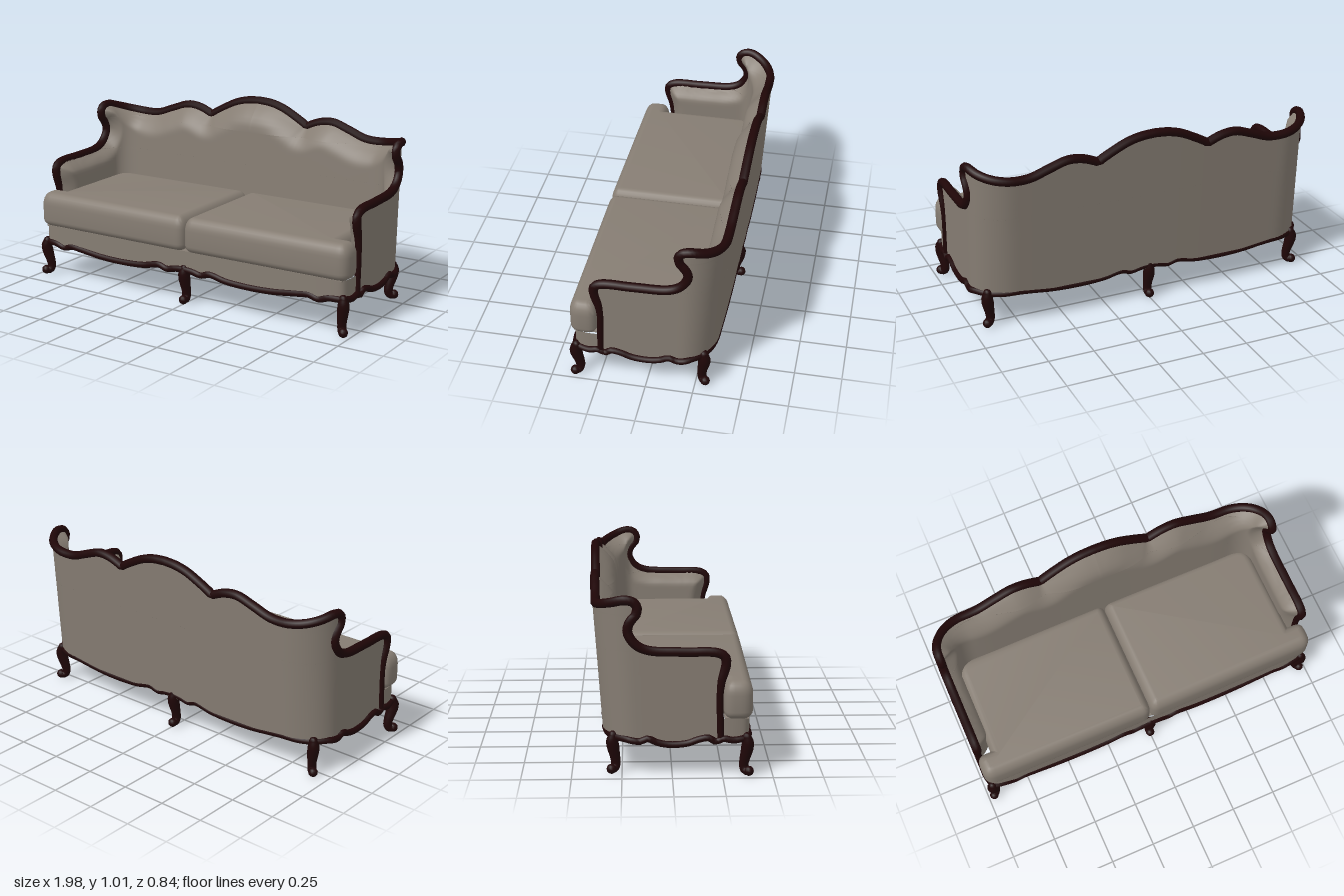
import * as THREE from 'three';
import { mergeVertices, toCreasedNormals } from 'three/addons/utils/BufferGeometryUtils.js';
import { ParametricGeometry } from 'three/addons/geometries/ParametricGeometry.js';

const V3 = (x, y, z) => new THREE.Vector3(x, y, z);
const { smoothstep, lerp, clamp } = THREE.MathUtils;
const ARC = 0.295, MID = 1.255; // corner length and half length of the wrap-around back

// Point on the back shell: s runs along the plan from the arm front to the centre back, d is the inward padding.
function plan(s) {
  if (s < 0.2) return [0.967, -s];
  if (s < 0.2 + ARC) {
    const a = (s - 0.2) / ARC * Math.PI / 2;
    return [0.76 + 0.207 * Math.cos(a), -0.2 - 0.182 * Math.sin(a)];
  }
  const x = MID - s;
  return [x, -0.382 - 0.006 * (1 - (x / 0.76) ** 2)];
}
function shell(s, y, d = 0) {
  let [x, z] = plan(s);
  const a = plan(s - 0.02), b = plan(Math.min(s + 0.02, MID));
  const tx = b[0] - a[0], tz = b[1] - a[1], l = Math.hypot(tx, tz);
  x += tz / l * d;
  z -= tx / l * d;
  const lean = clamp(-z / 0.37, 0, 1) * 0.07 * (0.9 - y);
  return V3(Math.max(x, 0), y, z + lean);
}

// Show-wood outline as (s, y): arm front, arm top, wing, then the crest to the centre
const armEdge = [[-0.24, 0.18], [-0.236, 0.3], [-0.234, 0.42], [-0.243, 0.5], [-0.262, 0.57], [-0.256, 0.615],
  [-0.21, 0.636], [-0.1, 0.638], [0, 0.64], [0.1, 0.644], [0.16, 0.66], [0.2, 0.69], [0.226, 0.74], [0.214, 0.785], [0.18, 0.825]];
const crest = [[0.18, 0.825], [0.172, 0.86], [0.19, 0.888], [0.235, 0.897], [0.314, 0.878], [0.4, 0.858], [0.495, 0.847],
  [0.575, 0.853], [0.675, 0.888], [0.775, 0.919], [0.855, 0.912], [0.92, 0.888], [0.94, 0.88], [0.96, 0.892], [1.02, 0.925],
  [1.105, 0.965], [1.18, 0.984], [MID, 0.99]];
const smooth = (pts, n) => new THREE.CatmullRomCurve3(pts.map(p => V3(p[0], p[1], 0)), false, 'centripetal').getPoints(n);
const armPts = smooth(armEdge, 56), crestPts = smooth(crest, 85);
const edgePts = [...armPts, ...crestPts];

// Padding swells away from the show-wood, softer on the back than on the arms
function padding(s, y) {
  let m = 1;
  for (const p of edgePts) m = Math.min(m, Math.hypot(p.x - s, p.y - y));
  const k = smoothstep(s, 0.2, 0.6);
  return (0.08 + 0.02 * k) * Math.sin(Math.PI / 2 * Math.min(m / (0.08 + 0.06 * k), 1));
}

function grid(f, nu, nv) {
  const g = new ParametricGeometry((u, v, t) => t.copy(f(u, v)), nu, nv);
  g.computeVertexNormals();
  return g;
}

// Tube whose thickness follows r(t)
function taperTube(curve, segs, r, sides) {
  const g = new THREE.TubeGeometry(curve, segs, 1, sides), pos = g.attributes.position, p = V3();
  for (let i = 0; i < pos.count; i++) {
    const t = Math.floor(i / (sides + 1)) / segs, c = curve.getPointAt(t);
    p.fromBufferAttribute(pos, i).sub(c).multiplyScalar(r(t)).add(c);
    pos.setXYZ(i, p.x, p.y, p.z);
  }
  return g;
}

function roundedShape(pts, radii) {
  const shape = new THREE.Shape(), v = pts.map(p => new THREE.Vector2(...p)), n = v.length;
  v.forEach((p, i) => {
    const toward = q => p.clone().add(q.clone().sub(p).setLength(radii[i]));
    const a = toward(v[(i + n - 1) % n]), b = toward(v[(i + 1) % n]);
    i ? shape.lineTo(a.x, a.y) : shape.moveTo(a.x, a.y);
    if (radii[i] > 0) shape.quadraticCurveTo(p.x, p.y, b.x, b.y);
  });
  shape.closePath();
  return shape;
}

// T-shaped cushion skin, rounded on top, tight at the bottom edge and open underneath
function cushionGeometry(side) {
  const outline = [[0, 0.29], [0, -0.406], [0.985, -0.4], [0.985, -0.256], [0.9, -0.256], [0.9, 0.29]]
    .map(([x, y]) => [x * side, y]);
  const g = new THREE.ExtrudeGeometry(roundedShape(outline, [0.052, 0.052, 0.065, 0.052, 0, 0.1]), {
    depth: 0.06, bevelThickness: 0.07, bevelSize: 0.05, bevelOffset: -0.05, bevelSegments: 6, curveSegments: 6 });
  g.rotateX(-Math.PI / 2).translate(0, 0.357, 0);
  const pos = g.attributes.position, kept = [];
  for (let i = 0; i < pos.count; i += 3) {
    if (Math.max(pos.getY(i), pos.getY(i + 1), pos.getY(i + 2)) < 0.2875) continue;
    for (let j = i; j < i + 3; j++) {
      const y = pos.getY(j);
      kept.push(pos.getX(j), y < 0.36 ? 0.29 + (y - 0.287) * 0.6 : y, pos.getZ(j));
    }
  }
  const skin = new THREE.BufferGeometry();
  skin.setAttribute('position', new THREE.Float32BufferAttribute(kept, 3));
  return toCreasedNormals(mergeVertices(skin, 1e-4), 0.8);
}

export function createModel() {
  const model = new THREE.Group();
  model.name = 'sofa';
  const fabric = new THREE.MeshStandardMaterial({ color: 0x867d73, side: THREE.DoubleSide });
  fabric.name = 'taupe upholstery';
  const wood = new THREE.MeshStandardMaterial({ color: 0x1f0607 });
  wood.name = 'dark mahogany';
  const add = (name, geo, mat, parent = model) => {
    const m = new THREE.Mesh(geo, mat);
    m.name = name;
    parent.add(m);
    return m;
  };

  for (const side of [1, -1]) {
    const tag = side > 0 ? 'left' : 'right';
    const flip = p => { p.x *= side; return p; };

    // Outer and padded inner skins: arm rows below, crest columns above
    for (const inner of [false, true]) {
      const at = (s, y) => flip(shell(s, y, inner ? padding(s, y) : -0.014 * smoothstep(s, 0.2, 0.5)));
      const rows = inner ? armPts.filter(p => p.y > 0.28) : armPts;
      const last = rows.length - 1;
      const ease = u => inner ? u ** 1.5 : u;
      const name = tag + (inner ? 'Inner' : 'Outer');
      add(name + 'Body', grid((u, v) => {
        const p = rows[clamp(Math.round(v * last), 0, last)];
        return at(p.x + (MID - p.x) * ease(u), p.y);
      }, 56, last), fabric);
      add(name + 'Crest', grid((u, v) => {
        const p = crestPts[clamp(Math.round(u * 85), 0, 85)];
        return at(p.x, 0.825 + (p.y - 0.825) * (1 - (1 - v) ** 2));
      }, 85, 10), fabric);
    }

    // Front apron below the cushions, wrapping back to the arm
    const apron = new THREE.CatmullRomCurve3([V3(0, 0, 0.39), V3(0.5, 0, 0.389), V3(0.9, 0, 0.384),
      V3(0.95, 0, 0.366), V3(0.965, 0, 0.32), V3(0.967, 0, 0.235)], false, 'centripetal');
    add(tag + 'Apron', grid((u, v) => {
      const p = apron.getPoint(clamp(u, 0, 1));
      return flip(V3(p.x, 0.18 + 0.115 * v, p.z));
    }, 24, 1), fabric);

    add(tag + 'SeatCushion', cushionGeometry(side), fabric);
  }

  // Narrow front strip closing the underside of the cushions
  add('seatLip', new THREE.BoxGeometry(1.9, 0.006, 0.12), fabric).position.set(0, 0.293, 0.32);

  // Mirrors a half path into one whole path
  const whole = half => [...half.map(p => V3(-p.x, p.y, p.z)), ...half.slice(0, -1).reverse()];

  // Continuous show-wood along arms, wings and crest, slimmer at the arm fronts
  const railHalf = [...armPts.filter((p, i) => i % 2 === 0), ...crestPts.slice(1)].map(p => shell(p.x, p.y));
  const railCurve = new THREE.CatmullRomCurve3(whole(railHalf), false, 'centripetal');
  add('frameRail', taperTube(railCurve, 260, t => lerp(0.017, 0.024, smoothstep(Math.min(t, 1 - t), 0.05, 0.09)), 8), wood);

  // Scalloped rail around the base
  const wave = [[0, 0.195], [0.06, 0.19], [0.11, 0.18], [0.16, 0.195], [0.2, 0.19], [0.26, 0.176], [0.4, 0.167],
    [0.55, 0.171], [0.7, 0.188], [0.77, 0.194], [0.82, 0.18], [0.88, 0.196]];
  const sideWave = [[0.3, 0.187], [0.25, 0.196], [0.215, 0.18], [0.18, 0.2], [0.13, 0.192], [0.08, 0.174], [0.03, 0.167],
    [-0.03, 0.168], [-0.08, 0.18], [-0.12, 0.198], [-0.16, 0.184], [-0.2, 0.188]];
  const baseHalf = [
    ...wave.map(([x, y]) => V3(x, y, 0.389 - 0.008 * x * x)), V3(0.948, 0.195, 0.367),
    ...sideWave.map(([z, y]) => V3(0.969, y, z)),
    ...[0.27, 0.35, 0.43].map(s => shell(s, 0.192)),
    ...wave.slice(0, 10).reverse().map(([x, y]) => shell(MID - x, y)),
  ];
  const baseLoop = [...baseHalf, ...baseHalf.slice(1, -1).reverse().map(p => V3(-p.x, p.y, p.z))];
  add('baseRail', new THREE.TubeGeometry(new THREE.CatmullRomCurve3(baseLoop, true, 'centripetal'), 280, 0.018, 8, true), wood);

  // Cabriole legs, each pointing outward along its own direction
  const legCurve = new THREE.CatmullRomCurve3([V3(0, 0.2, 0), V3(0, 0.17, 0.006), V3(0, 0.125, -0.002),
    V3(0, 0.08, -0.014), V3(0, 0.045, -0.018), V3(0, 0.026, -0.008), V3(0, 0.025, 0.018)]);
  const thick = [0.023, 0.031, 0.032, 0.029, 0.026, 0.024, 0.024, 0.023];
  const legGeo = taperTube(legCurve, 28, t => {
    const k = Math.min(t * 7, 6.999), i = Math.floor(k);
    return lerp(thick[i], thick[i + 1], k - i);
  }, 10);
  const knee = new THREE.SphereGeometry(0.023, 10, 8), toe = new THREE.SphereGeometry(0.025, 12, 8);
  const legs = [[0, 0.382, 0], [0.957, 0.37, 0.7], [-0.957, 0.37, -0.7],
    [0, -0.335, Math.PI], [0.91, -0.293, 2.3], [-0.91, -0.293, -2.3]];
  for (const [x, z, turn] of legs) {
    const leg = new THREE.Group();
    leg.name = z > 0 ? 'frontLeg' : 'backLeg';
    leg.position.set(x, 0, z);
    leg.rotation.y = turn;
    add('legPost', legGeo, wood, leg);
    add('legKnee', knee, wood, leg).position.y = 0.2;
    add('legToe', toe, wood, leg).position.set(0, 0.025, 0.014);
    model.add(leg);
  }
  return model;
}
